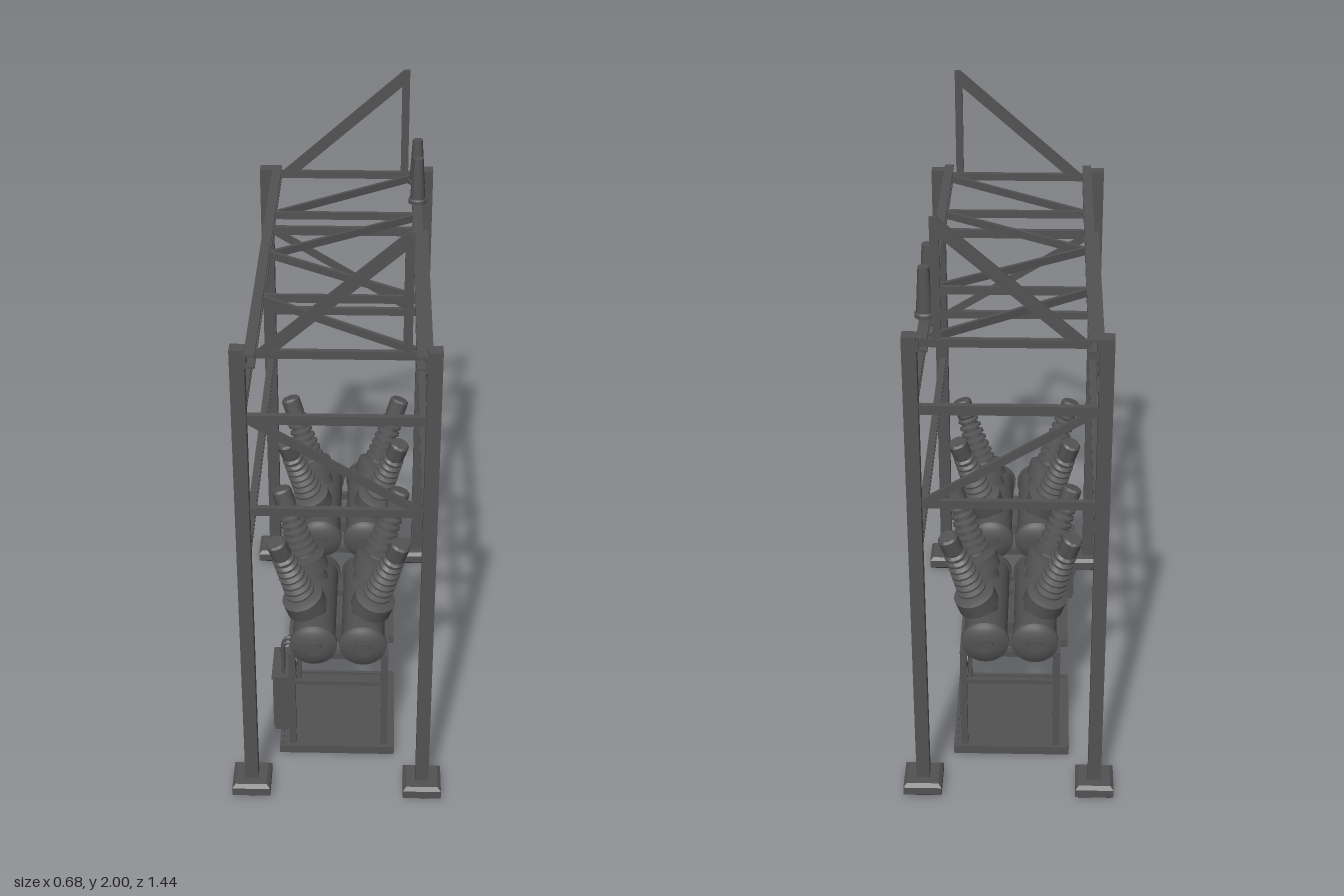
import * as THREE from 'three';
import { toCreasedNormals } from 'three/addons/utils/BufferGeometryUtils.js';

const steel = new THREE.MeshStandardMaterial({ color: 0x525252 });
steel.name = 'dark grey steel';

function add(parent, name, geometry, x = 0, y = 0, z = 0) {
  const mesh = new THREE.Mesh(geometry, steel);
  mesh.name = name;
  mesh.position.set(x, y, z);
  parent.add(mesh);
  return mesh;
}

// Box given by its extents on each axis
function box(parent, name, [x0, x1], [y0, y1], [z0, z1]) {
  return add(parent, name, new THREE.BoxGeometry(x1 - x0, y1 - y0, z1 - z0),
    (x0 + x1) / 2, (y0 + y1) / 2, (z0 + z1) / 2);
}

// Straight rectangular member between two points
function bar(parent, name, a, b, width, height) {
  const p = new THREE.Vector3(...a), q = new THREE.Vector3(...b);
  const mesh = new THREE.Mesh(new THREE.BoxGeometry(width, height, p.distanceTo(q)), steel);
  mesh.name = name;
  mesh.position.copy(p).add(q).multiplyScalar(0.5);
  mesh.lookAt(q);
  parent.add(mesh);
  return mesh;
}

function lathe(points, sides = 24) {
  const profile = points.map(([r, y]) => new THREE.Vector2(r, y));
  return toCreasedNormals(new THREE.LatheGeometry(profile, sides), 0.6);
}

// Channel section running along z, web on the outer side, open towards the middle
function channel(parent, name, side, [xIn, xOut], [y0, y1], [z0, z1], t) {
  const sorted = (a, b) => [Math.min(side * a, side * b), Math.max(side * a, side * b)];
  box(parent, name + 'Web', sorted(xOut - t, xOut), [y0, y1], [z0, z1]);
  box(parent, name + 'TopFlange', sorted(xIn, xOut - t), [y1 - t, y1], [z0, z1]);
  box(parent, name + 'BottomFlange', sorted(xIn, xOut - t), [y0, y0 + t], [z0, z1]);
}

// Footing block with a chamfered top edge
function footingGeometry() {
  const h = 0.051, s = new THREE.Shape();
  s.moveTo(-h, -h).lineTo(h, -h).lineTo(h, h).lineTo(-h, h).closePath();
  const g = new THREE.ExtrudeGeometry(s, {
    depth: 0.028, bevelEnabled: true, bevelSize: 0.011, bevelThickness: 0.011, bevelSegments: 1,
  });
  return g.rotateX(-Math.PI / 2).translate(0, 0.011, 0);
}

function buildGantry() {
  const g = new THREE.Group();
  g.name = 'gantry';
  const X = 0.279, Z = 0.656, h = 0.0215;
  const footing = footingGeometry();

  for (const sx of [-1, 1]) {
    for (const sz of [-1, 1]) {
      add(g, 'footing', footing, sx * X, 0, sz * Z);
      box(g, 'post', [sx * X - h, sx * X + h], [0.04, 1.645], [sz * Z - h, sz * Z + h]);
    }
    // Long beams
    channel(g, 'topBeam', sx, [0.226, 0.257], [1.602, 1.645], [-0.68, 0.703], 0.007);
    for (const y of [0.9, 1.408]) {
      channel(g, 'sideBeam', sx, [0.264, 0.288], [y - 0.016, y + 0.016], [-Z + h, Z - h], 0.007);
    }
  }

  for (const z of [-0.656, 0.648]) {
    // End bracing between posts
    box(g, 'endBeam', [-0.258, 0.258], [1.393, 1.423], [z - 0.009, z + 0.009]);
    box(g, 'endBeam', [-0.258, 0.258], [1.076, 1.103], [z - 0.009, z + 0.009]);
    bar(g, 'endDiagonal', [-0.25, 1.402, z], [0.25, 1.092, z], 0.012, 0.025);
    // Triangular peak
    box(g, 'peakBase', [-0.235, 0.25], [1.61, 1.635], [z - 0.008, z + 0.008]);
    box(g, 'peakUpright', [0.188, 0.214], [1.61, 1.99], [z - 0.005, z + 0.005]);
    const peak = new THREE.Shape();
    peak.moveTo(-0.235, 1.612).lineTo(-0.19, 1.612).lineTo(0.214, 1.965)
      .lineTo(0.214, 2).lineTo(0.195, 2).lineTo(-0.225, 1.63).closePath();
    add(g, 'peakDiagonal', new THREE.ExtrudeGeometry(peak, { depth: 0.01, bevelEnabled: false }), 0, 0, z - 0.005);
  }

  // Zigzag roof bracing
  const zig = [[0.226, -0.63], [-0.226, -0.312], null, [0.226, -0.29], [-0.226, 0], [0.226, 0.29], null,
    [-0.226, 0.312], [0.226, 0.622]];
  for (let i = 0; i + 1 < zig.length; i++) {
    if (!zig[i] || !zig[i + 1]) continue;
    bar(g, 'roofDiagonal', [zig[i][0], 1.622, zig[i][1]], [zig[i + 1][0], 1.622, zig[i + 1][1]], 0.011, 0.025);
  }
  for (const z of [-0.304, 0.302]) box(g, 'roofCrossbar', [-0.23, 0.23], [1.61, 1.635], [z - 0.006, z + 0.006]);

  // Post insulators on the right top beam
  const post = lathe([[0, 0], [0.03, 0], [0.03, 0.012], [0.025, 0.016], [0.017, 0.155], [0, 0.155]]);
  for (const z of [-0.37, -0.534]) add(g, 'postInsulator', post, 0.242, 1.645, z);
  return g;
}

// Ribbed bushing along +y, origin at the middle of its collar
function bushingGeometry() {
  const p = [[0, -0.1], [0.052, -0.1], [0.052, -0.026], [0.068, -0.026], [0.068, 0.024], [0.05, 0.03], [0.03, 0.032]];
  for (let i = 0; i < 7; i++) {
    const y = 0.042 + i * 0.026, r = 0.049 - i * 0.002;
    p.push([0.028, y], [r, y + 0.004], [r, y + 0.011], [0.028, y + 0.018]);
  }
  p.push([0.033, 0.222], [0.033, 0.278], [0.027, 0.285], [0, 0.285]);
  return lathe(p);
}

function buildBreaker(zc, name) {
  const g = new THREE.Group();
  g.name = name;
  g.position.z = zc;

  // Base tray
  box(g, 'basePlate', [-0.187, 0.179], [0.006, 0.024], [-0.188, 0.188]);
  for (const s of [-1, 1]) {
    box(g, 'baseRim', [-0.197, 0.188], [0, 0.031], [s * 0.193 - 0.006, s * 0.193 + 0.006]);
    box(g, 'baseRim', [s * 0.187 - 0.0105, s * 0.187 + 0.0015], [0, 0.031], [-0.188, 0.188]);
  }

  // Stand
  const lx = 0.153, lz = 0.172, t = 0.011;
  for (const s of [-1, 1]) {
    for (const q of [-1, 1]) {
      box(g, 'leg', [s * lx - t, s * lx + t], [0.02, 0.412], [q * lz - t, q * lz + t]);
      bar(g, 'sideBrace', [s * lx, 0.395, q * 0.165], [s * lx, 0.222, q * 0.006], 0.01, 0.016);
    }
    box(g, 'topRail', [s * lx - t, s * lx + t], [0.394, 0.415], [-lz, lz]);
    box(g, 'sideRail', [s * lx - 0.007, s * lx + 0.007], [0.21, 0.226], [-lz, lz]);
    box(g, 'endRail', [-lx, lx], [0.28, 0.295], [s * lz - 0.007, s * lz + 0.007]);
    box(g, 'topCrossRail', [-lx, lx], [0.394, 0.415], [s * lz - t, s * lz + t]);
  }
  box(g, 'saddle', [-0.148, 0.148], [0.394, 0.435], [-0.053, 0.053]);

  // Twin tanks with flanged, domed ends
  const half = [[0.07, 0.188], [0.077, 0.188], [0.077, 0.203], [0.066, 0.208], [0.052, 0.217],
    [0.026, 0.219], [0.026, 0.227], [0, 0.227]];
  const tank = lathe([...half.map(([r, y]) => [r, -y]).reverse(), ...half], 32).rotateX(Math.PI / 2);
  const bushing = bushingGeometry();
  for (const s of [-1, 1]) {
    add(g, 'tank', tank, s * 0.08, 0.466, 0);
    for (const q of [-1, 1]) {
      const b = add(g, 'bushing', bushing, s * 0.112, 0.572, q * 0.105);
      b.quaternion.setFromUnitVectors(new THREE.Vector3(0, 1, 0),
        new THREE.Vector3(s * 0.076, 0.233, q * 0.042).normalize());
    }
  }
  return g;
}

function buildControlBox() {
  const g = new THREE.Group();
  g.name = 'controlBox';
  box(g, 'cabinet', [-0.214, -0.165], [0.07, 0.292], [0.312, 0.46]);
  box(g, 'cabinetLid', [-0.222, -0.16], [0.29, 0.299], [0.306, 0.466]);
  box(g, 'cabinetDoor', [-0.219, -0.213], [0.08, 0.282], [0.32, 0.452]);
  box(g, 'doorHandle', [-0.225, -0.218], [0.165, 0.2], [0.328, 0.336]);
  // Conduits from the cabinet up to the tanks
  for (const z of [0.413, 0.438]) {
    const path = new THREE.CatmullRomCurve3([[-0.184, 0.29], [-0.184, 0.36], [-0.184, 0.405], [-0.172, 0.424],
      [-0.15, 0.426], [-0.12, 0.43]].map(([x, y]) => new THREE.Vector3(x, y, z)));
    add(g, 'conduit', new THREE.TubeGeometry(path, 20, 0.006, 8));
  }
  return g;
}

export function createModel() {
  const model = new THREE.Group();
  model.name = 'substationBay';
  model.add(buildGantry(), buildBreaker(0.299, 'frontBreaker'), buildBreaker(-0.299, 'rearBreaker'), buildControlBox());
  return model;
}
